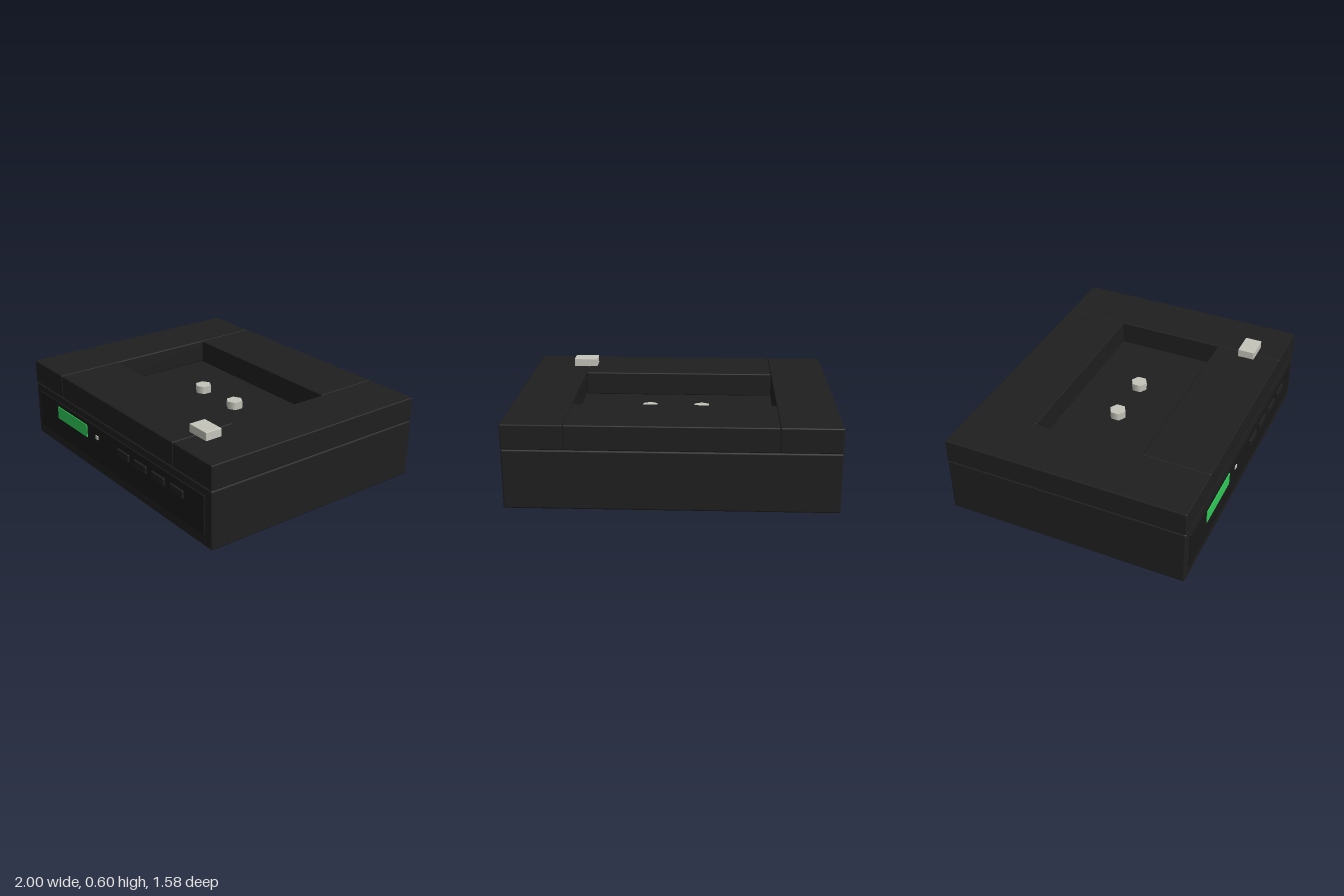
import * as THREE from 'three';
import { RoundedBoxGeometry } from 'three/addons/geometries/RoundedBoxGeometry.js';

const flat = (name, color) => {
  const m = new THREE.MeshStandardMaterial({ color });
  m.name = name;
  return m;
};

export function createModel() {
  const model = new THREE.Group();
  model.name = 'tapeDeck';
  const body = flat('black casing', 0x1f1f1f);
  const dark = flat('dark trim', 0x191919);
  const metal = flat('pale metal', 0xc4c4ba);
  const green = flat('green display', 0x2fcc58);

  const add = (name, geometry, material, x, y, z) => {
    const mesh = new THREE.Mesh(geometry, material);
    mesh.name = name;
    mesh.position.set(x, y, z);
    model.add(mesh);
    return mesh;
  };
  // Box given by its lower and upper limits, with softened edges
  const block = (name, material, [x0, x1], [y0, y1], [z0, z1], r) =>
    add(name, new RoundedBoxGeometry(x1 - x0, y1 - y0, z1 - z0, 2, r), material,
      (x0 + x1) / 2, (y0 + y1) / 2, (z0 + z1) / 2);

  // Casing: lower body and the four bars framing the open well
  const lid = [0.39, 0.545];
  block('lowerBody', body, [-1, 1], [0.017, 0.39], [-0.79, 0.77], 0.012);
  block('rightBar', body, [-1, -0.632], lid, [-0.79, 0.77], 0.008);
  block('leftBar', body, [0.632, 1], lid, [-0.79, 0.77], 0.008);
  block('backBar', body, [-0.632, 0.632], lid, [-0.79, -0.37], 0.008);
  block('frontBar', body, [-0.632, 0.632], lid, [0.336, 0.77], 0.008);

  // Front panel with display, indicator and buttons
  block('frontPanel', dark, [-0.94, 0.938], [0.09, 0.34], [0.762, 0.778], 0.003);
  block('display', green, [-0.692, -0.313], [0.225, 0.312], [0.776, 0.783], 0.002);
  block('indicator', metal, [-0.207, -0.177], [0.255, 0.28], [0.774, 0.784], 0.002);
  for (let i = 0; i < 4; i++) {
    const x = 0.122 + i * 0.188;
    block('button', body, [x - 0.063, x + 0.063], [0.242, 0.291], [0.772, 0.79], 0.004);
  }

  // Slide switch on the lid
  block('switch', metal, [0.575, 0.735], [0.54, 0.597], [0.5, 0.61], 0.004);

  // Six-sided spindles in the well
  for (const x of [-0.168, 0.168])
    add('spindle', new THREE.CylinderGeometry(0.054, 0.054, 0.05, 6), metal, x, 0.415, -0.04);

  // Feet
  for (const x of [-0.812, 0.812])
    for (const z of [0.555, -0.57])
      add('foot', new THREE.CylinderGeometry(0.048, 0.048, 0.03, 16), dark, x, 0.015, z);

  return model;
}
